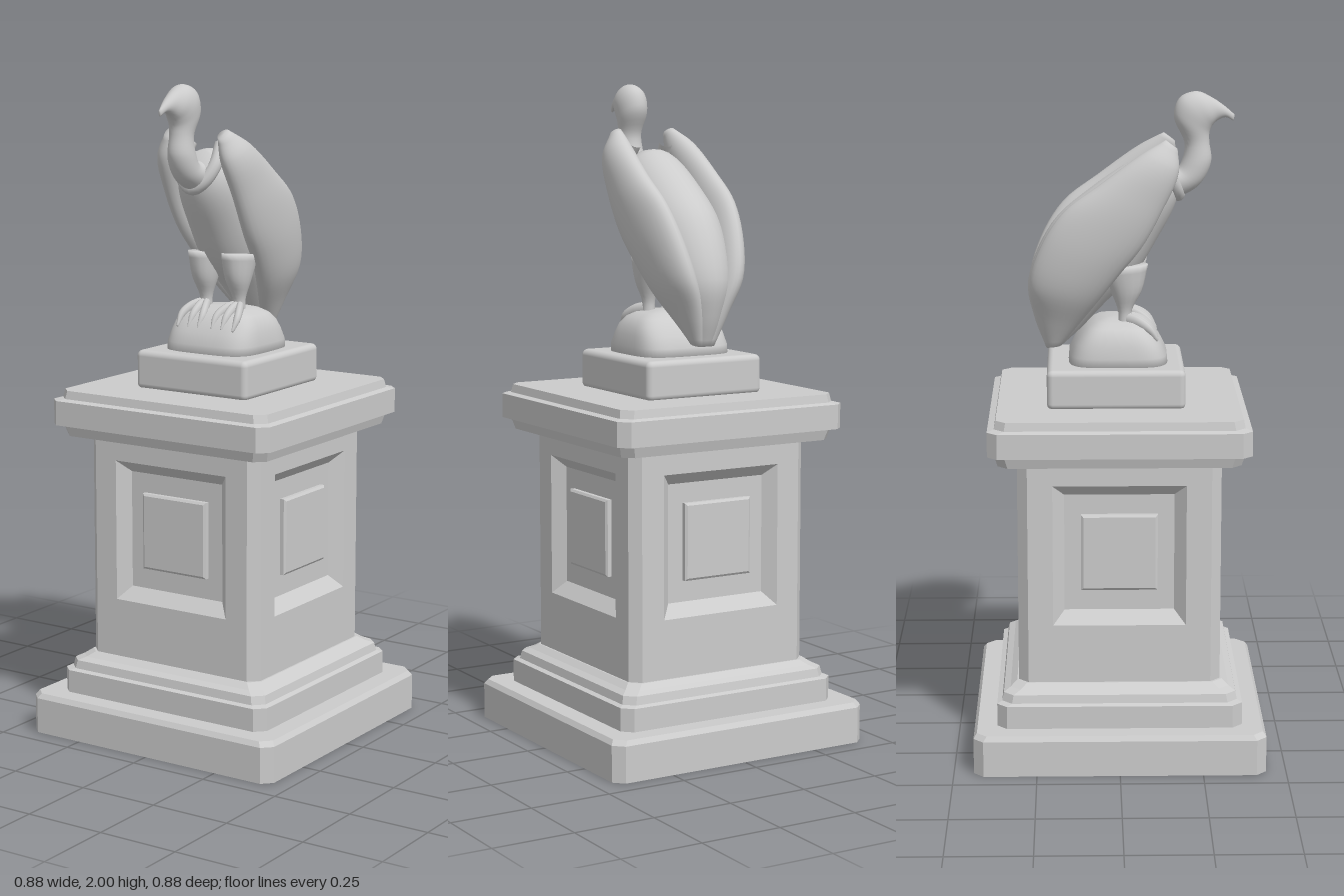
import * as THREE from 'three';
import { mergeVertices } from 'three/addons/utils/BufferGeometryUtils.js';
import { RoundedBoxGeometry } from 'three/addons/geometries/RoundedBoxGeometry.js';

const stone = new THREE.MeshStandardMaterial({ color: 0xcccccc });
const V = (x, y, z) => new THREE.Vector3(x, y, z);

// Skin between rings of points; the ends close to their centres when asked
function loft(rings, { flat = false, start = true, end = true } = {}) {
  const n = rings[0].length;
  const centre = (r) => {
    const c = r.reduce((s, p) => s.add(p), V(0, 0, 0)).divideScalar(n);
    return r.map(() => c);
  };
  const rows = [...rings];
  if (start) rows.unshift(centre(rings[0]));
  if (end) rows.push(centre(rings[rings.length - 1]));
  const index = [];
  for (let i = 0; i < rows.length - 1; i++) {
    for (let j = 0; j < n; j++) {
      const k = (j + 1) % n;
      const a = i * n + j, b = i * n + k, c = a + n, d = b + n;
      if (!(start && i === 0)) index.push(a, b, c);
      if (!(end && i === rows.length - 2)) index.push(b, d, c);
    }
  }
  let geo = new THREE.BufferGeometry().setFromPoints(rows.flat());
  geo.setIndex(index);
  geo = flat ? geo.toNonIndexed() : mergeVertices(geo, 1e-5);
  geo.computeVertexNormals();
  return geo;
}

function add(parent, name, geo) {
  const mesh = new THREE.Mesh(geo, stone);
  mesh.name = name;
  parent.add(mesh);
  return mesh;
}

// Square with cut corners, at height y
function cutSquare(h, c, y) {
  const k = h - c;
  return [[-k, h], [k, h], [h, k], [h, -k], [k, -h], [-k, -h], [-h, -k], [-h, k]]
    .map(([x, z]) => V(x, y, z));
}
const moulding = (steps) =>
  loft(steps.map(([h, y]) => cutSquare(h, 0.03, y)), { flat: true });

// Upright rectangle for the panel walls
const rect = (w, y0, y1, z) => [V(-w, y0, z), V(w, y0, z), V(w, y1, z), V(-w, y1, z)];

// Smooth body from sections [frontZ, frontY, backZ, backY, halfWidth, x]
function organic(sections, side = 1, steps = 5, sides = 28) {
  const low = new THREE.CatmullRomCurve3(sections.map((s) => V((s[5] || 0) * side, s[1], s[0])));
  const high = new THREE.CatmullRomCurve3(sections.map((s) => V(s[4], s[3], s[2])));
  const count = (sections.length - 1) * steps;
  const rings = [];
  for (let i = 0; i <= count; i++) {
    const f = low.getPoint(i / count), b = high.getPoint(i / count);
    const ring = [];
    for (let j = 0; j < sides; j++) {
      const t = (j / sides) * Math.PI * 2, m = (1 + Math.cos(t)) / 2;
      ring.push(V(f.x + b.x * Math.sin(t), f.y + (b.y - f.y) * m, f.z + (b.z - f.z) * m));
    }
    rings.push(ring);
  }
  return loft(rings);
}

// Rounded-square ring for the rock
function softSquare(hx, hz, y, sides = 48) {
  const soft = (v) => Math.sign(v) * Math.pow(Math.abs(v), 0.5);
  return Array.from({ length: sides }, (_, j) => {
    const t = (j / sides) * Math.PI * 2;
    return V(hx * soft(Math.sin(t)), y, hz * soft(Math.cos(t)));
  });
}

function createPedestal() {
  const g = new THREE.Group();
  g.name = 'pedestal';
  add(g, 'base', moulding([[0.44, 0], [0.44, 0.11], [0.43, 0.125]]));
  add(g, 'footing', moulding([[0.37, 0.12], [0.37, 0.195], [0.355, 0.2], [0.35, 0.225],
    [0.33, 0.235], [0.31, 0.25]]));

  // Four walls with a sunk panel and raised square, plus the cut corners
  const wall = loft([
    rect(0.275, 0.24, 0.94, 0.305), rect(0.2, 0.43, 0.865, 0.305),
    rect(0.165, 0.47, 0.83, 0.27), rect(0.115, 0.535, 0.77, 0.27),
    rect(0.115, 0.535, 0.77, 0.283), rect(0.108, 0.542, 0.763, 0.288),
  ], { flat: true, start: false });
  const corner = new THREE.PlaneGeometry(0.03 * Math.SQRT2, 0.7);
  corner.translate(0, 0.59, 0.29 * Math.SQRT2);
  for (let i = 0; i < 4; i++) {
    add(g, 'panelWall', wall).rotation.y = (i * Math.PI) / 2;
    add(g, 'shaftCorner', corner).rotation.y = ((i + 0.5) * Math.PI) / 2;
  }
  add(g, 'cornice', moulding([[0.36, 0.935], [0.37, 0.97], [0.39, 0.97], [0.39, 1.045],
    [0.37, 1.05], [0.365, 1.075]]));
  return g;
}

function createBird() {
  const g = new THREE.Group();
  g.name = 'bird';
  add(g, 'body', organic([
    [0.19, 1.73, 0.13, 1.8, 0.045], [0.17, 1.655, 0.06, 1.8, 0.09],
    [0.115, 1.55, -0.085, 1.71, 0.115], [0.05, 1.445, -0.2, 1.605, 0.12],
    [-0.03, 1.37, -0.272, 1.43, 0.1], [-0.11, 1.285, -0.255, 1.32, 0.06],
    [-0.17, 1.23, -0.22, 1.225, 0.03],
  ]));
  // Beak, head and curved neck in one skin, from the beak tip down
  add(g, 'headAndNeck', organic([
    [0.345, 1.912, 0.349, 1.93, 0.004], [0.322, 1.922, 0.32, 1.955, 0.014],
    [0.3, 1.914, 0.28, 1.982, 0.026], [0.287, 1.903, 0.235, 2.0, 0.041],
    [0.28, 1.893, 0.185, 1.982, 0.047], [0.274, 1.877, 0.167, 1.925, 0.044],
    [0.274, 1.85, 0.2, 1.845, 0.036], [0.28, 1.79, 0.19, 1.79, 0.042],
    [0.245, 1.72, 0.175, 1.77, 0.044], [0.16, 1.67, 0.12, 1.78, 0.05],
  ]));
  // Ruff of down around the neck
  const ruff = new THREE.CatmullRomCurve3([
    V(-0.055, 1.82, 0.11), V(-0.06, 1.76, 0.15), V(-0.035, 1.71, 0.175), V(0, 1.69, 0.182),
    V(0.035, 1.71, 0.175), V(0.06, 1.76, 0.15), V(0.055, 1.82, 0.11),
  ]);
  add(g, 'ruff', new THREE.TubeGeometry(ruff, 32, 0.02, 12));

  for (const side of [1, -1]) {
    const label = side > 0 ? 'left' : 'right';
    add(g, label + 'Wing', organic([
      [0.175, 1.84, 0.14, 1.866, 0.018, 0.095], [0.178, 1.77, 0.065, 1.825, 0.04, 0.113],
      [0.13, 1.66, -0.06, 1.735, 0.046, 0.122], [0.07, 1.55, -0.165, 1.655, 0.05, 0.118],
      [0, 1.46, -0.235, 1.545, 0.053, 0.103], [-0.06, 1.38, -0.268, 1.43, 0.05, 0.08],
      [-0.12, 1.3, -0.25, 1.33, 0.037, 0.045], [-0.17, 1.235, -0.218, 1.225, 0.02, 0.018],
    ], side));
    add(g, label + 'Leg', organic([
      [0.09, 1.49, -0.06, 1.48, 0.05, 0.06], [0.072, 1.41, -0.02, 1.4, 0.037, 0.06],
      [0.042, 1.35, 0, 1.345, 0.02, 0.06], [0.04, 1.305, 0, 1.305, 0.02, 0.06],
    ], side, 4, 16));
    // Three clawed toes gripping the rock
    for (const spread of [-0.035, 0, 0.04]) {
      add(g, label + 'Toe', organic([
        [0.115, 1.258, 0.122, 1.266, 0.003, 0.06 + spread],
        [0.088, 1.285, 0.1, 1.307, 0.011, 0.06 + spread],
        [0.05, 1.303, 0.06, 1.335, 0.013, 0.06 + spread * 0.6],
        [0.012, 1.305, 0.015, 1.345, 0.014, 0.06],
      ], side, 4, 10));
    }
  }
  return g;
}

export function createModel() {
  const model = new THREE.Group();
  model.name = 'birdStatue';
  model.add(createPedestal());

  // Soft-edged block and rounded rock under the bird
  const block = new RoundedBoxGeometry(0.4, 0.12, 0.415, 4, 0.018);
  add(model, 'block', block).position.set(0, 1.13, -0.008);
  add(model, 'rock', loft([
    [0.155, 0.152, 1.17], [0.155, 0.148, 1.215], [0.148, 0.13, 1.25], [0.14, 0.112, 1.277],
    [0.122, 0.09, 1.3], [0.095, 0.065, 1.314], [0.05, 0.035, 1.322],
  ].map((r) => softSquare(...r))));

  model.add(createBird());
  return model;
}
